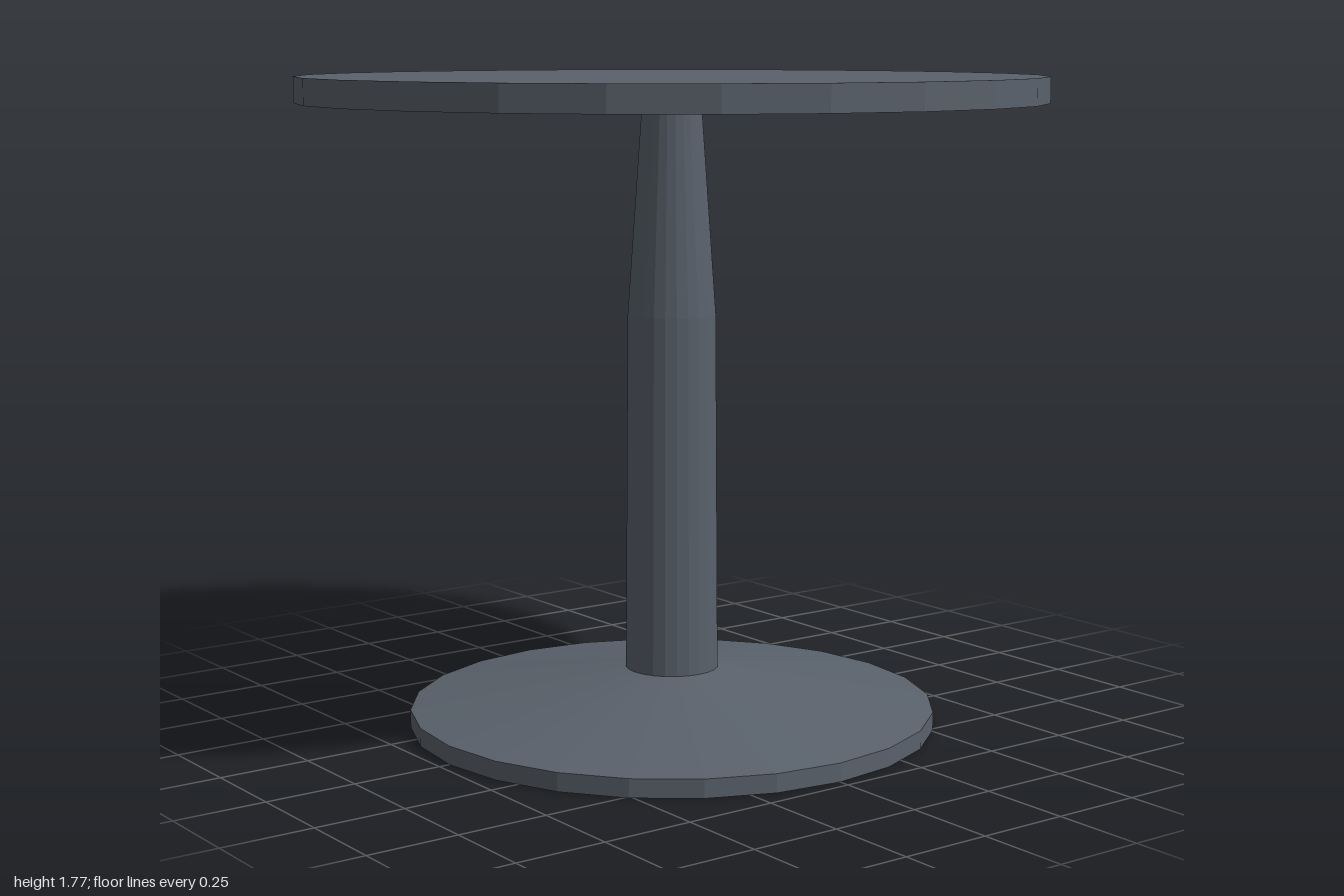
import * as THREE from 'three';

const SIDES = 24;

export function createModel() {
  const table = new THREE.Group();
  table.name = 'pedestalTable';

  const slate = new THREE.MeshStandardMaterial({ color: 0x59616b, flatShading: true });
  slate.name = 'slate grey';

  // Turn a [radius, height] profile, listed from bottom to top
  const addTurned = (name, profile) => {
    const points = profile.map(([r, y]) => new THREE.Vector2(r, y));
    const mesh = new THREE.Mesh(new THREE.LatheGeometry(points, SIDES), slate);
    mesh.name = name;
    table.add(mesh);
  };

  // Low foot disc rising in a shallow cone
  addTurned('base', [[0, 0], [0.72, 0], [0.72, 0.05], [0.127, 0.155]]);

  // Column, narrowing towards the top
  addTurned('column', [[0.127, 0.155], [0.12, 1.13], [0.08, 1.7]]);

  // Round top
  addTurned('tabletop', [[0, 1.7], [1, 1.7], [1, 1.77], [0, 1.77]]);

  return table;
}
